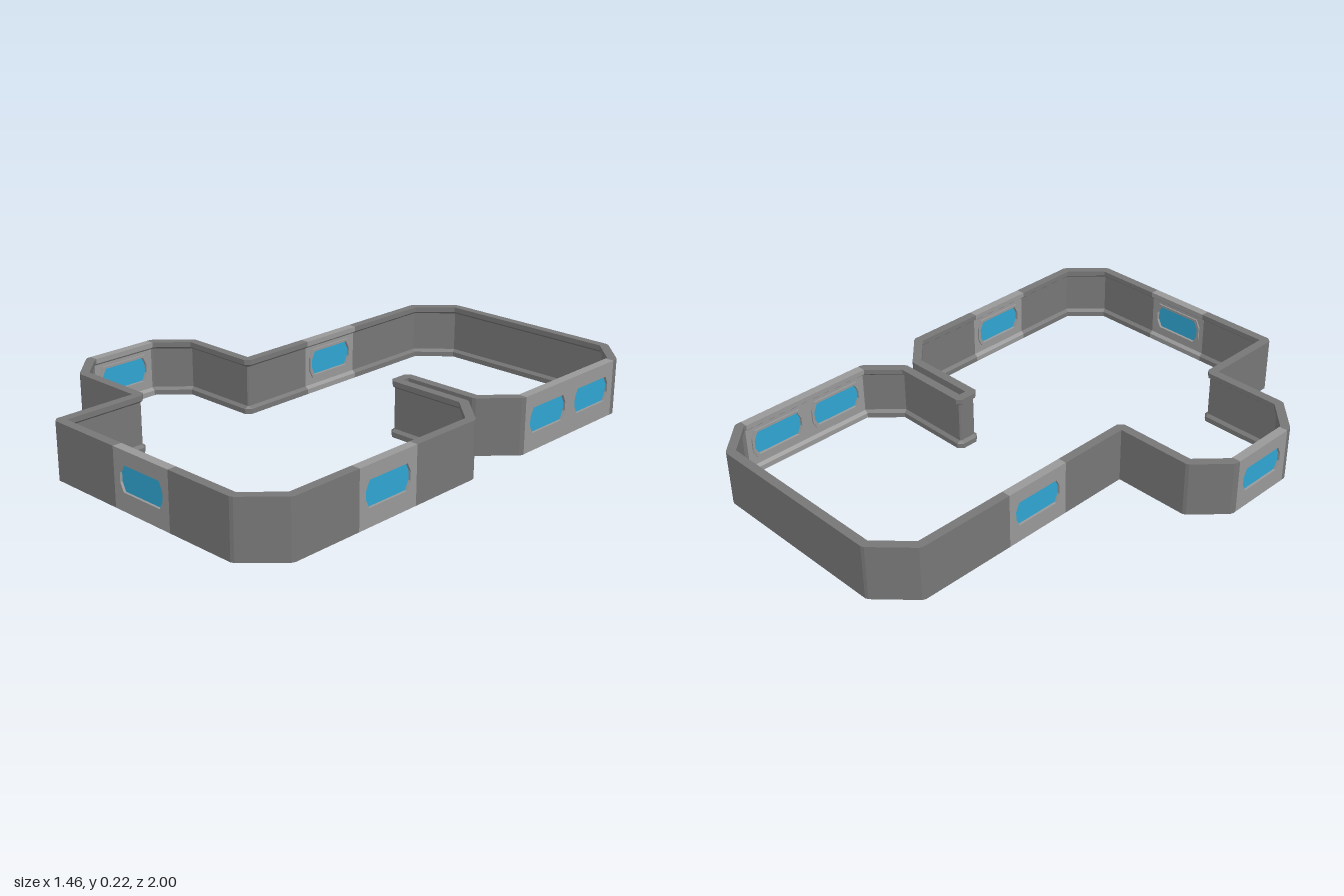
import * as THREE from 'three';

const H = 0.22, h = 0.0175, r = 0.005;      // wall height, half thickness, recess depth
const PANEL_W = 0.275, WIN_W = 0.214, WIN_H = 0.098, WIN_Y = 0.118;

// Wall centreline in plan (x, z), clockwise seen from above
const path = [
  [-0.155, -0.9825], [0.59, -0.9825], [0.705, -0.865], [0.705, -0.29], [0.59, -0.175],
  [0.275, -0.175], [0.275, -0.11], [0.59, -0.11], [0.7125, 0.005], [0.7125, 0.86],
  [0.59, 0.9825], [-0.28, 0.9825], [-0.28, 0.64], [-0.6, 0.64], [-0.715, 0.525],
  [-0.715, 0.225], [-0.605, 0.11], [-0.285, 0.11], [-0.285, -0.86],
].map(([x, z]) => new THREE.Vector2(x, z));

// Window panels: path segment -> distances of panel centres from the segment start
const windows = { 2: [0.155, 0.43], 8: [0.435], 10: [0.42], 14: [0.15], 17: [0.445] };

// Cross-section as (outward offset, height): flat outside, lipped inside
const topLip = [[-r, H], [-h, H], [-h, H - 0.02], [-r, H - 0.03]];
const bottomLip = [[-r, 0.03], [-h, 0.02], [-h, 0], [-r, 0]];
const profile = [[h, 0], [h, H], ...topLip.slice(1), bottomLip[0], bottomLip[1], [-h, 0], [h, 0]];

// Joins two stations of a profile; a station maps (offset, height) to a point
function sweep(out, prof, A, B) {
  const tri = (a, b, c) => {
    const area = b.clone().sub(a).cross(c.clone().sub(a)).length();
    if (area > 1e-9) for (const p of [a, b, c]) out.push(p.x, p.y, p.z);
  };
  for (let i = 0; i < prof.length - 1; i++) {
    const a0 = A(...prof[i]), a1 = A(...prof[i + 1]);
    const b0 = B(...prof[i]), b1 = B(...prof[i + 1]);
    tri(a0, a1, b1);
    tri(a0, b1, b0);
  }
}

function toMesh(positions, material, name) {
  const g = new THREE.BufferGeometry();
  g.setAttribute('position', new THREE.Float32BufferAttribute(positions, 3));
  g.computeVertexNormals();
  const m = new THREE.Mesh(g, material);
  m.name = name;
  return m;
}

// Window outline with cut corners
function windowOutline(Type, grow = 0) {
  const w = WIN_W / 2 + grow, k = WIN_H / 2 + grow, cx = 0.016, cy = 0.032;
  return new Type([
    [w, -k + cy], [w, k - cy], [w - cx, k], [-w + cx, k],
    [-w, k - cy], [-w, -k + cy], [-w + cx, -k], [w - cx, -k],
  ].map(([x, y]) => new THREE.Vector2(x, y)));
}

function extrude(shape, z0, z1, material, name) {
  const g = new THREE.ExtrudeGeometry(shape, { depth: z1 - z0, bevelEnabled: false });
  g.translate(0, 0, z0);
  const m = new THREE.Mesh(g, material);
  m.name = name;
  return m;
}

// Panel facing +z: plate with opening, inner frame, glass and lips
function makePanel(mats) {
  const g = new THREE.Group();
  g.name = 'windowPanel';
  const w = PANEL_W / 2, lo = -WIN_Y, hi = H - WIN_Y;
  const plate = new THREE.Shape([[-w, lo], [w, lo], [w, hi], [-w, hi]].map(p => new THREE.Vector2(...p)));
  plate.holes.push(windowOutline(THREE.Path));
  const frame = windowOutline(THREE.Shape, 0.01);
  frame.holes.push(windowOutline(THREE.Path));
  const parts = [
    extrude(plate, -r, h, mats.panel, 'panelPlate'),
    extrude(frame, -r - 0.006, -r, mats.panel, 'innerFrame'),
    extrude(windowOutline(THREE.Shape), 0, 0.008, mats.glass, 'windowGlass'),
  ];
  for (const p of parts) p.position.y = WIN_Y;
  const pos = [];
  const at = x => (d, y) => new THREE.Vector3(x, y, d);
  for (const lip of [topLip, bottomLip]) sweep(pos, lip, at(w), at(-w));
  g.add(...parts, toMesh(pos, mats.panel, 'panelLips'));
  return g;
}

export function createModel() {
  const model = new THREE.Group();
  model.name = 'windowedWallRing';
  const mats = {
    wall: new THREE.MeshStandardMaterial({ color: 0x777777, flatShading: true }),
    panel: new THREE.MeshStandardMaterial({ color: 0x999999, flatShading: true }),
    glass: new THREE.MeshStandardMaterial({ color: 0x30a5d3, flatShading: true }),
  };

  const n = path.length;
  const segs = path.map((p, i) => {
    const t = path[(i + 1) % n].clone().sub(p);
    const len = t.length();
    t.normalize();
    return { p, t, len, out: new THREE.Vector2(t.y, -t.x) };
  });

  // Corner station: mitred on the inside of the bend, bevelled on the outside
  const corner = (i, useNext) => {
    const a = segs[(i + n - 1) % n], b = segs[i % n];
    const turn = a.t.cross(b.t);
    const miter = a.out.clone().add(b.out).divideScalar(1 + a.out.dot(b.out));
    return (d, y) => {
      const dir = d * turn > 0 ? (useNext ? b.out : a.out) : miter;
      const q = b.p.clone().addScaledVector(dir, d);
      return new THREE.Vector3(q.x, y, q.y);
    };
  };
  const along = (s, dist) => (d, y) => {
    const q = s.p.clone().addScaledVector(s.t, dist).addScaledVector(s.out, d);
    return new THREE.Vector3(q.x, y, q.y);
  };

  // Straight walls, interrupted by window panels, and bevelled corners
  const wall = [];
  segs.forEach((s, i) => {
    sweep(wall, profile, corner(i, false), corner(i, true));
    let start = corner(i, true);
    for (const c of windows[i] || []) {
      sweep(wall, profile, start, along(s, c - PANEL_W / 2));
      start = along(s, c + PANEL_W / 2);
      const panel = makePanel(mats);
      panel.position.copy(along(s, c)(0, 0));
      panel.rotation.y = Math.atan2(s.out.x, s.out.y);
      model.add(panel);
    }
    sweep(wall, profile, start, corner(i + 1, false));
  });
  model.add(toMesh(wall, mats.wall, 'wall'));
  return model;
}
